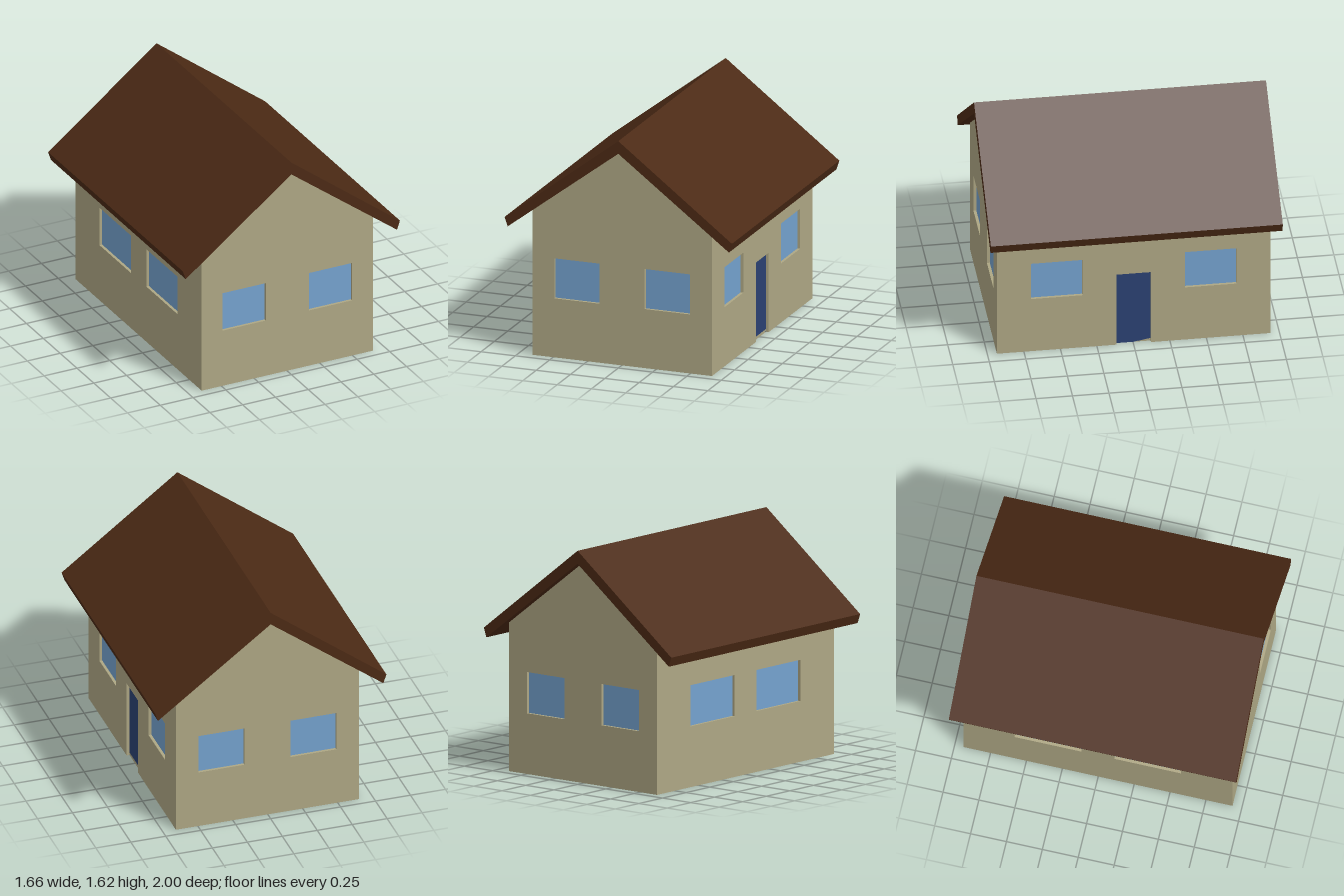
import * as THREE from 'three';

const W = 0.654, D = 0.937;       // half width and half depth of the walls
const EAVE = 1.03, PEAK = 1.525;  // wall top at the sides and at the gable
const T = 0.02;                   // wall thickness, which is also the window recess
const SILL = 0.42, HEAD = 0.705;  // window bottom and top
const DOOR_W = 0.119, DOOR_H = 0.565;

const mat = (color) => new THREE.MeshStandardMaterial({ color, flatShading: true });
const wallMat = mat(0xaea784);
const roofMat = mat(0x4c2a15);
const glassMat = mat(0x74a2ce);
const doorMat = mat(0x2b4172);

const points = (list) => list.map(([x, y]) => new THREE.Vector2(x, y));

function add(parent, name, geometry, material, x = 0, y = 0, z = 0) {
  const mesh = new THREE.Mesh(geometry, material);
  mesh.name = name;
  mesh.position.set(x, y, z);
  parent.add(mesh);
  return mesh;
}

// One wall facing local +z, pierced by a mirrored pair of windows from x0 to x1
function makeWall(name, outline, x0, x1) {
  const wall = new THREE.Group();
  wall.name = name;
  const shape = new THREE.Shape(points(outline));
  for (const s of [-1, 1]) {
    shape.holes.push(new THREE.Path(points([
      [s * x0, SILL], [s * x1, SILL], [s * x1, HEAD], [s * x0, HEAD],
    ])));
    add(wall, 'windowPane', new THREE.BoxGeometry(x1 - x0 + 0.02, HEAD - SILL + 0.02, 0.01),
      glassMat, s * (x0 + x1) / 2, (SILL + HEAD) / 2, -0.005);
  }
  add(wall, 'wallPanel', new THREE.ExtrudeGeometry(shape, { depth: T, bevelEnabled: false }), wallMat);
  return wall;
}

export function createModel() {
  const model = new THREE.Group();
  model.name = 'house';
  const body = new THREE.Group();
  body.name = 'body';
  body.position.set(0.003, 0, -0.002);
  model.add(body);

  // Front and back gable walls
  const gable = [[-W, 0], [W, 0], [W, EAVE], [0, PEAK], [-W, EAVE]];
  for (const [name, s] of [['frontWall', 1], ['backWall', -1]]) {
    const wall = makeWall(name, gable, 0.164, 0.494);
    wall.rotation.y = s > 0 ? 0 : Math.PI;
    wall.position.z = s * (D - T);
    body.add(wall);
  }

  // Side wall with the doorway cut up from the ground
  const L = D - T;
  const doorWall = makeWall('doorWall', [
    [-L, 0], [-DOOR_W, 0], [-DOOR_W, DOOR_H], [DOOR_W, DOOR_H],
    [DOOR_W, 0], [L, 0], [L, EAVE], [-L, EAVE],
  ], 0.35, 0.704);
  add(doorWall, 'door', new THREE.BoxGeometry(2 * DOOR_W + 0.02, DOOR_H + 0.01, 0.01),
    doorMat, 0, (DOOR_H + 0.01) / 2, -0.005);
  doorWall.rotation.y = Math.PI / 2;
  doorWall.position.x = W - T;
  body.add(doorWall);

  // Opposite side wall
  const plainWall = makeWall('plainSideWall', [[-L, 0], [L, 0], [L, EAVE], [-L, EAVE]], 0.115, 0.58);
  plainWall.rotation.y = -Math.PI / 2;
  plainWall.position.x = -(W - T);
  body.add(plainWall);

  // Floor slab
  add(body, 'floor', new THREE.BoxGeometry(2 * (W - T), 0.02, 2 * L), wallMat, 0, 0.01, 0);

  // Pitched roof overhanging on all sides
  const roof = new THREE.Shape(points([
    [0, 1.615], [-0.828, 0.98], [-0.806, 0.915], [0, PEAK], [0.806, 0.915], [0.828, 0.98],
  ]));
  add(model, 'roof', new THREE.ExtrudeGeometry(roof, { depth: 2, bevelEnabled: false }), roofMat, 0, 0, -1);

  return model;
}
